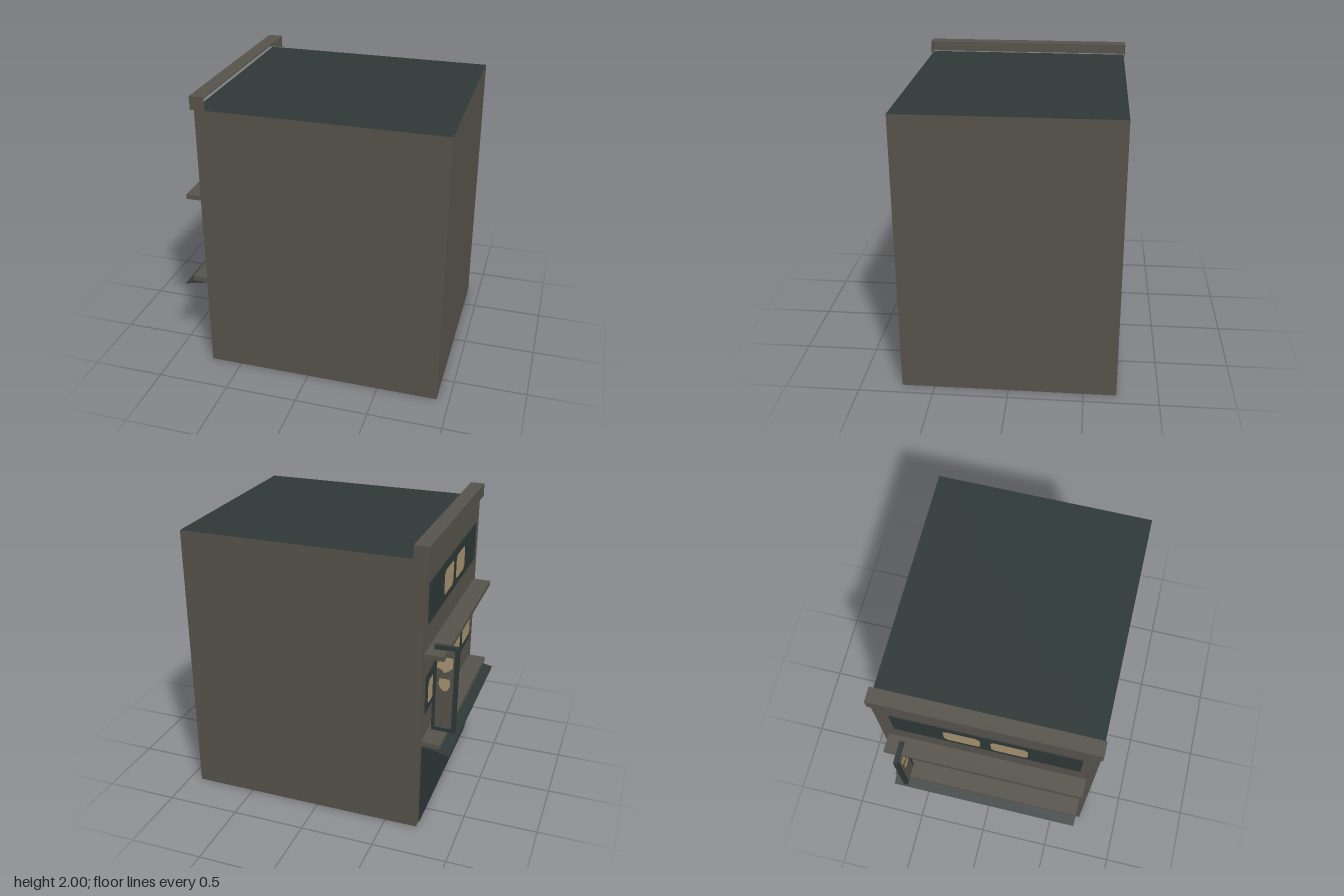
import * as THREE from 'three';

const mat = (name, color) => {
  const m = new THREE.MeshStandardMaterial({ color, side: THREE.DoubleSide });
  m.name = name;
  return m;
};

export function createModel() {
  const group = new THREE.Group();
  const stone = mat('stone', 0x56524b);
  const slate = mat('slate', 0x2e3837);
  const glow = mat('lit glass', 0xa59170);

  const add = (name, geometry, material, parent = group) => {
    const mesh = new THREE.Mesh(geometry, material);
    mesh.name = name;
    parent.add(mesh);
    return mesh;
  };

  // Box from min/max corners; keep lists the sides to build (+x -x +y -y +z -z)
  const box = (name, material, [x0, x1], [y0, y1], [z0, z1], keep = [0, 1, 2, 3, 4, 5]) => {
    const g = new THREE.BoxGeometry(x1 - x0, y1 - y0, z1 - z0);
    const index = Array.from(g.index.array);
    g.setIndex(keep.flatMap((f) => index.slice(f * 6, f * 6 + 6)));
    g.clearGroups();
    g.translate((x0 + x1) / 2, (y0 + y1) / 2, (z0 + z1) / 2);
    return add(name, g, material);
  };

  // Open-bottomed building shell and flat roof
  box('walls', stone, [-0.72, 0.915], [0, 1.91], [-0.72, 0.72], [0, 1, 4, 5]);
  box('roof', slate, [-0.72, 0.915], [1.9, 1.91], [-0.72, 0.72], [2]);

  // Cornice, open at the back and below
  box('cornice', stone, [-0.745, -0.645], [1.91, 2], [-0.727, 0.727], [1, 2, 4, 5]);

  // Ledges above the shop and between the storeys
  for (const y of [0.615, 1.25]) {
    box('ledge', stone, [-0.847, -0.72], [y, y + 0.032], [-0.68, 0.675]);
  }

  // Sloping shop awning
  const awning = new THREE.PlaneGeometry(0.194, 1.355);
  awning.rotateX(-Math.PI / 2);
  awning.rotateZ(Math.atan2(0.04, 0.19));
  awning.translate(-0.815, 0.596, -0.0025);
  add('awning', awning, slate);

  // Dark shopfront
  box('shopfront', slate, [-0.726, -0.72], [0, 0.61], [-0.66, 0.66]);

  // Window pane with clipped corners, facing -x
  const w = 0.12, h = 0.085, c = 0.025;
  const paneShape = new THREE.Shape([
    [-w + c, -h], [w - c, -h], [w, -h + c], [w, h - c],
    [w - c, h], [-w + c, h], [-w, h - c], [-w, -h + c],
  ].map(([a, b]) => new THREE.Vector2(a, b)));
  const paneGeometry = new THREE.ShapeGeometry(paneShape);
  paneGeometry.rotateY(-Math.PI / 2);

  // Window bands; only some panes are lit
  const bands = [
    { y: 0.961, lit: [-0.465, -0.155, 0.155, 0.465] },
    { y: 1.598, lit: [-0.155, 0.155] },
  ];
  for (const { y, lit } of bands) {
    box('windowBand', slate, [-0.726, -0.72], [y - 0.138, y + 0.138], [-0.62, 0.62]);
    for (const z of lit) add('windowPane', paneGeometry, glow).position.set(-0.73, y, z);
  }

  // Hanging sign: dark frame, inset face and two worn light patches on each side
  box('signFrame', slate, [-0.92, -0.76], [0.7, 1.31], [-0.59, -0.56]);
  box('signFace', stone, [-0.893, -0.783], [0.73, 1.285], [-0.594, -0.556]);
  const patches = [
    [[-0.887, 1.24], [-0.785, 1.245], [-0.785, 1.16], [-0.815, 1.155], [-0.83, 1.13], [-0.86, 1.145], [-0.887, 1.17]],
    [[-0.868, 1.09], [-0.805, 1.09], [-0.798, 1.05], [-0.81, 1.02], [-0.838, 1.0], [-0.862, 1.015], [-0.876, 1.05]],
  ];
  for (const points of patches) {
    const shape = new THREE.Shape(points.map(([a, b]) => new THREE.Vector2(a, b)));
    const geometry = new THREE.ShapeGeometry(shape);
    for (const z of [-0.598, -0.552]) add('signPatch', geometry, glow).position.z = z;
  }

  return group;
}
